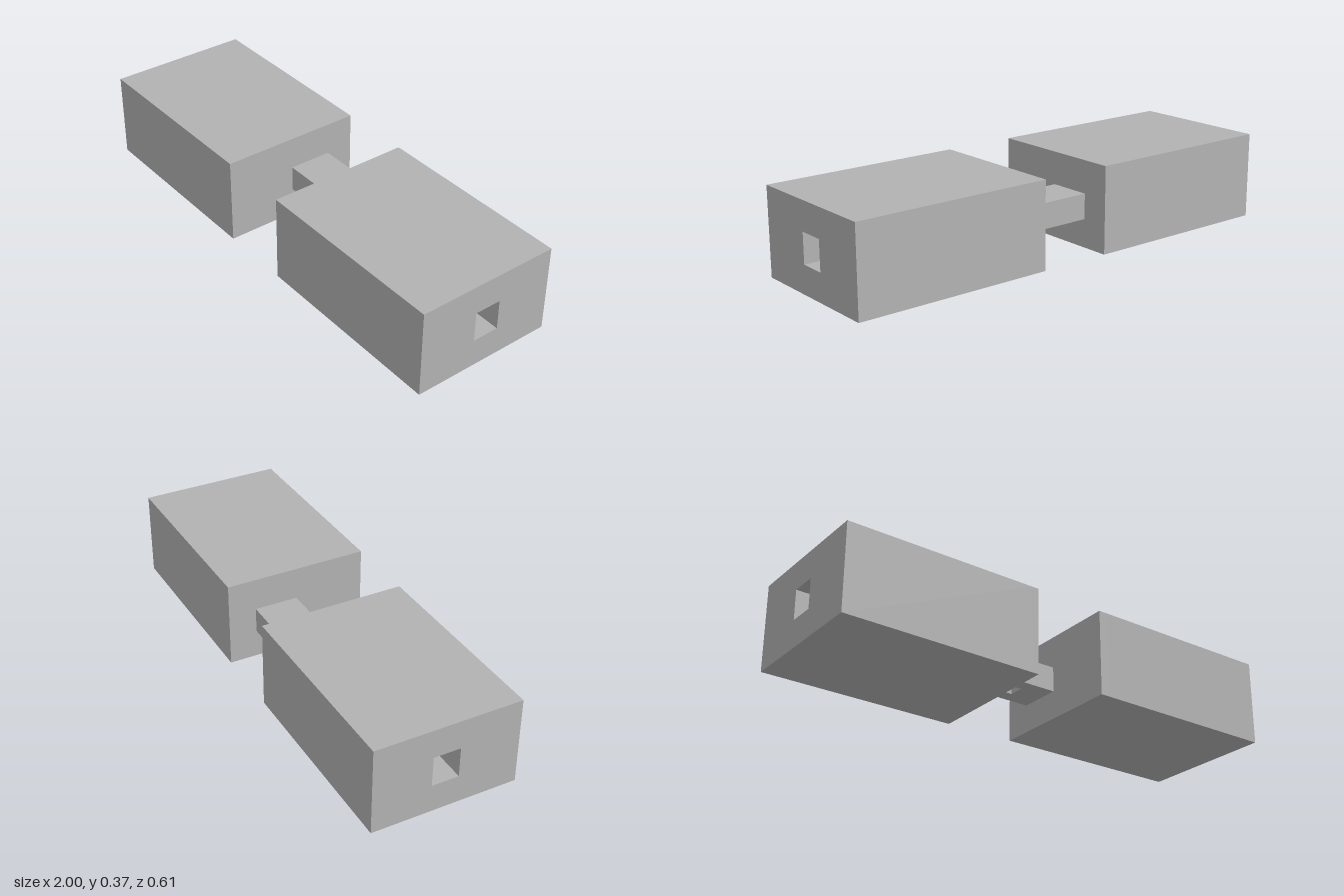
import * as THREE from 'three';

const gray = new THREE.MeshStandardMaterial({ color: 0xb2b2b2 });
gray.name = 'plain gray';

const INNER = 0.154, OUTER = 1, WALL = 0.03;
const BLOCK = [-0.303, 0.303, 0, 0.365]; // z0, z1, y0, y1
const SOCKET = [-0.06, 0.052, 0.118, 0.244];
const OPENING = [-0.06, 0, 0.12, 0.227];

function rect(path, [a0, a1, b0, b1]) {
  path.moveTo(a0, b0);
  path.lineTo(a1, b0);
  path.lineTo(a1, b1);
  path.lineTo(a0, b1);
  path.closePath();
  return path;
}

function frame(outline, hole, depth) {
  const shape = rect(new THREE.Shape(), outline);
  shape.holes.push(rect(new THREE.Path(), hole));
  return new THREE.ExtrudeGeometry(shape, { depth, bevelEnabled: false });
}

// Rectangular frame in the z-y plane, running along x from x0 to x1
function frameAlongX(outline, hole, x0, x1) {
  const flip = ([z0, z1, y0, y1]) => [-z1, -z0, y0, y1];
  return frame(flip(outline), flip(hole), x1 - x0).rotateY(Math.PI / 2).translate(x0, 0, 0);
}

function add(parent, name, geometry) {
  const mesh = new THREE.Mesh(geometry, gray);
  mesh.name = name;
  parent.add(mesh);
}

function box(x0, x1, y0, y1, z0, z1) {
  return new THREE.BoxGeometry(x1 - x0, y1 - y0, z1 - z0)
    .translate((x0 + x1) / 2, (y0 + y1) / 2, (z0 + z1) / 2);
}

export function createModel() {
  const model = new THREE.Group();
  model.name = 'linkedBlocks';

  // End blocks: a deep socket from the outer end, closed by a pierced wall
  for (const side of [1, -1]) {
    const block = new THREE.Group();
    block.name = side > 0 ? 'leftBlock' : 'rightBlock';
    const span = (a, b) => (side > 0 ? [a, b] : [-b, -a]);
    add(block, 'blockBody', frameAlongX(BLOCK, SOCKET, ...span(INNER + WALL, OUTER)));
    add(block, 'innerWall', frameAlongX(BLOCK, OPENING, ...span(INNER, INNER + WALL)));
    model.add(block);
  }

  // Hollow bridge between the blocks, set towards the back
  const bridge = new THREE.Group();
  bridge.name = 'bridge';
  const [y0, y1, z0, z1] = [0.12, 0.227, -0.184, 0];
  const [floorY, roofY, t] = [0.147, 0.208, 0.03];
  add(bridge, 'bridgeRoof', box(-INNER, INNER, roofY, y1, z0, z1));
  add(bridge, 'bridgeFront', box(-INNER, INNER, floorY, roofY, z1 - t, z1));
  add(bridge, 'bridgeBack', box(-INNER, INNER, floorY, roofY, z0, z0 + t));

  // Bridge floor with a small square hole in its middle
  const floor = frame([-INNER, INNER, -z1, -z0], [-0.033, 0.033, 0.059, 0.125], floorY - y0);
  add(bridge, 'bridgeFloor', floor.rotateX(-Math.PI / 2).translate(0, y0, 0));
  model.add(bridge);

  return model;
}
